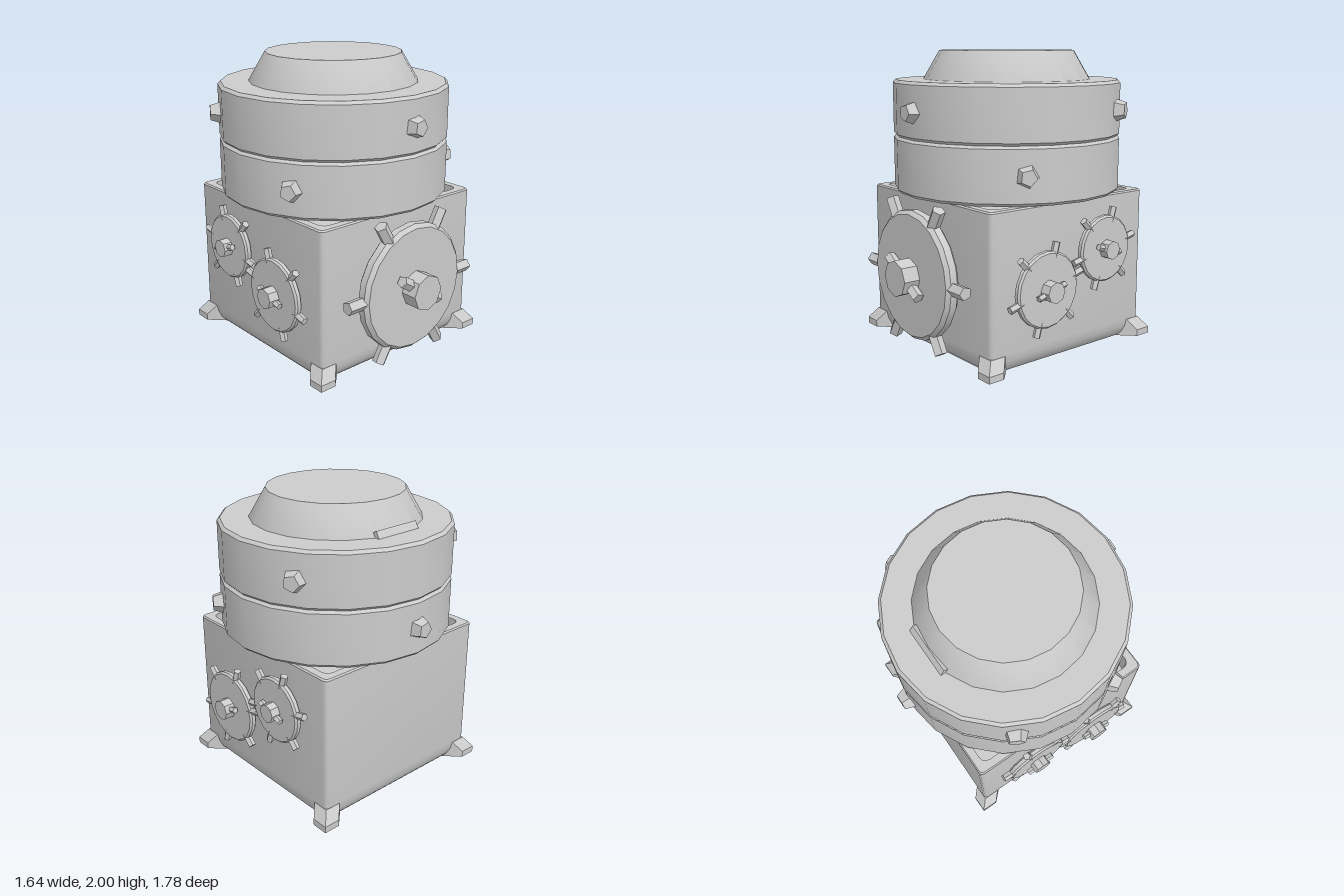
import * as THREE from 'three';
import { toCreasedNormals } from 'three/addons/utils/BufferGeometryUtils.js';

const grey = new THREE.MeshStandardMaterial({ color: 0xcccccc });
const CZ = -0.05; // z of the body axis
const rad = THREE.MathUtils.degToRad;

function add(parent, name, geometry, crease = 0.6) {
  const mesh = new THREE.Mesh(toCreasedNormals(geometry, crease), grey);
  mesh.name = name;
  parent.add(mesh);
  return mesh;
}

// Closed solid through equal-length rings of [x, y, z]
function loft(rings) {
  const n = rings[0].length, index = [];
  for (let i = 0; i < rings.length - 1; i++)
    for (let j = 0; j < n; j++) {
      const a = i * n + j, b = i * n + (j + 1) % n;
      index.push(a, b, b + n, a, b + n, a + n);
    }
  const last = (rings.length - 1) * n;
  for (let j = 1; j < n - 1; j++) index.push(0, j + 1, j, last, last + j, last + j + 1);
  const g = new THREE.BufferGeometry();
  g.setAttribute('position', new THREE.Float32BufferAttribute(rings.flat(2), 3));
  g.setIndex(index);
  return g;
}

// Horizontal rounded square
function squareRing(half, y, r) {
  const ring = [];
  for (let q = 0; q < 4; q++)
    for (let s = 0; s <= 3; s++) {
      const a = q * Math.PI / 2 + s * Math.PI / 6, m = (q + 0.5) * Math.PI / 2;
      const k = (half - r) * Math.SQRT2;
      ring.push([k * Math.cos(m) + r * Math.cos(a), y, -k * Math.sin(m) - r * Math.sin(a)]);
    }
  return ring;
}

const lathe = (pts, sides = 20) =>
  new THREE.LatheGeometry(pts.map(p => new THREE.Vector2(...p)), sides);

// Solid disc with bevelled rim, axis along y
const disc = (r, y0, y1, b) =>
  lathe([[0, y0], [r - b, y0], [r, y0 + b], [r, y1 - b], [r - b, y1], [0, y1]]);

// Wheel facing +z with rim pegs, a hub and a cross pin
function makeWheel(name, o) {
  const wheel = new THREE.Group();
  wheel.name = name;
  const t = o.thick / 2;
  add(wheel, 'wheelDisc', disc(o.r, -t, t, t * 0.5).rotateX(Math.PI / 2));
  const hubLength = o.hubFront - o.hubBack;
  const hub = new THREE.CylinderGeometry(o.hubR, o.hubR, hubLength, 8).rotateX(Math.PI / 2);
  add(wheel, 'hub', hub.translate(0, 0, (o.hubFront + o.hubBack) / 2));
  for (let i = 0; i < 6; i++) {
    const len = o.pegEnd - o.r + 0.04;
    const peg = new THREE.CylinderGeometry(o.pegR, o.pegR, len, 5)
      .translate(0, o.pegEnd - len / 2, 0).rotateZ(rad(o.pegAngle + i * 60 - 90));
    add(wheel, 'peg', peg);
  }
  const pin = new THREE.CylinderGeometry(o.pinR, o.pinR, o.pinHalf * 2, 5)
    .rotateZ(rad(o.pinAngle - 90)).translate(0, 0, o.pinZ);
  add(wheel, 'hubPin', pin);
  return wheel;
}

export function createModel() {
  const model = new THREE.Group();
  model.name = 'machine';

  // Square body with tucked-in bottom and a recessed top
  const body = [[0.62, 0.003], [0.645, 0.03], [0.662, 0.075], [0.67, 0.13],
    [0.67, 1.04], [0.662, 1.05], [0.61, 1.05], [0.61, 0.85]];
  add(model, 'body', loft(body.map(([h, y], i) => squareRing(h, y, i > 5 ? 0.05 : 0.03))))
    .position.z = CZ;

  // Corner feet, each a sloped bar with an arrow-shaped tip
  const footRing = (t, h) => {
    const c = 0.725 - t, s = c - 0.115;
    return [[c, 0, c], [s, 0, c], [s, h, c], [c, h, c], [c, h, s], [c, 0, s]];
  };
  for (let i = 0; i < 4; i++) {
    const foot = add(model, 'foot',
      loft([footRing(0, 0.045), footRing(0.055, 0.12), footRing(0.2, 0.12)]), 0.3);
    foot.position.z = CZ;
    foot.rotation.y = i * Math.PI / 2;
  }

  // Two-tier drum and its tapered cap
  const drum = new THREE.Group();
  drum.name = 'drum';
  drum.position.z = CZ - 0.005;
  model.add(drum);
  add(drum, 'lowerRing', disc(0.785, 1.05, 1.43, 0.02));
  add(drum, 'upperRing', disc(0.785, 1.425, 1.805, 0.02));
  add(drum, 'cap', lathe([[0, 1.79], [0.577, 1.79], [0.577, 1.805], [0.463, 2], [0, 2]]));

  // Five-sided studs, three per tier
  for (const [y, start] of [[1.61, 0], [1.24, 60]])
    for (let i = 0; i < 3; i++) {
      const stud = new THREE.CylinderGeometry(0.055, 0.085, 0.09, 5)
        .rotateX(Math.PI / 2).rotateZ(rad(12)).translate(0, 0, 0.795);
      const mesh = add(drum, 'stud', stud);
      mesh.position.y = y;
      mesh.rotation.y = rad(start + i * 120);
    }

  // Small bar lying on the back slope of the cap
  const bar = add(model, 'capBar', new THREE.BoxGeometry(0.345, 0.065, 0.04));
  bar.position.set(0, 1.812, -0.612);
  bar.rotation.x = 0.53;

  // Large front wheel
  const front = makeWheel('frontWheel', {
    r: 0.437, thick: 0.1, hubR: 0.122, hubBack: -0.15, hubFront: 0.165,
    pegR: 0.045, pegEnd: 0.55, pegAngle: 0,
    pinR: 0.04, pinHalf: 0.2, pinAngle: -32, pinZ: 0.095,
  });
  front.position.set(0, 0.54, 0.72);
  model.add(front);

  // A pair of small wheels on each side, mirrored
  const pairs = [
    { name: 'sideWheelFront', z: 0.21, y: 0.51, r: 0.253, hubR: 0.07, hubFront: 0.098,
      pegEnd: 0.312, pegAngle: 14.5, pinHalf: 0.115, pinAngle: 15 },
    { name: 'sideWheelBack', z: -0.3, y: 0.7, r: 0.226, hubR: 0.063, hubFront: 0.088,
      pegEnd: 0.285, pegAngle: 12.5, pinHalf: 0.105, pinAngle: -17 },
  ];
  for (const side of [1, -1])
    for (const p of pairs) {
      const flip = a => (side > 0 ? a : 180 - a);
      const wheel = makeWheel(p.name, {
        ...p, thick: 0.05, hubBack: -0.08, pegR: 0.026, pinR: 0.022, pinZ: 0.052,
        pegAngle: flip(p.pegAngle), pinAngle: flip(p.pinAngle),
      });
      wheel.position.set(side * 0.722, p.y, p.z);
      wheel.rotation.y = side * Math.PI / 2;
      model.add(wheel);
    }
  return model;
}
